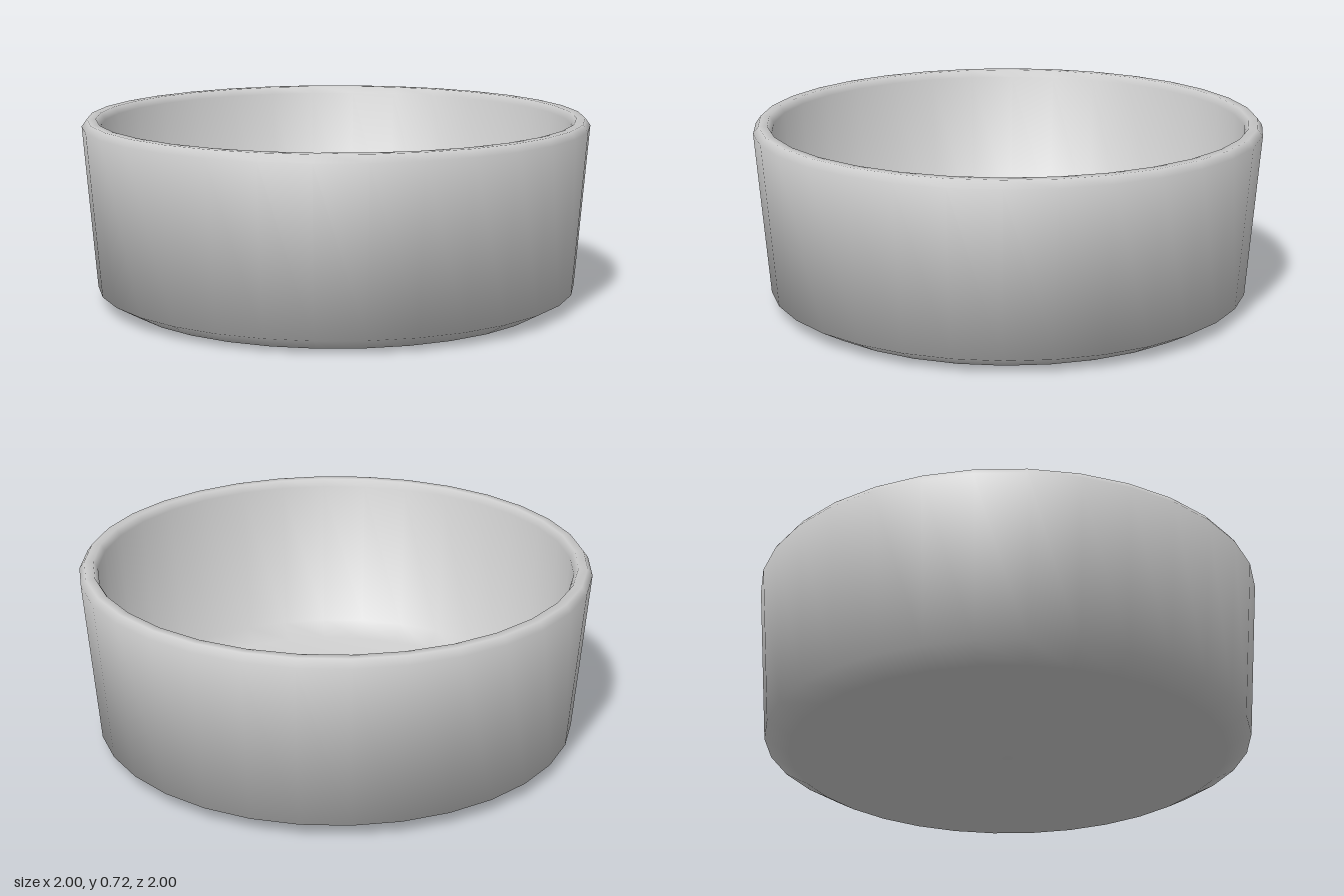
import * as THREE from 'three';

// Lathe whose normals bisect neighbouring profile segments evenly
function softLathe(profile, segments) {
  const geometry = new THREE.LatheGeometry(profile, segments);
  const last = profile.length - 1;
  const segmentNormal = (k) => {
    const d = profile[k + 1].clone().sub(profile[k]).normalize();
    return new THREE.Vector2(d.y, -d.x);
  };
  const normals = profile.map((_, j) =>
    segmentNormal(Math.max(j - 1, 0)).add(segmentNormal(Math.min(j, last - 1))).normalize());
  for (let i = 0; i <= segments; i++) {
    const a = (i / segments) * Math.PI * 2;
    normals.forEach((n, j) => geometry.attributes.normal.setXYZ(
      i * profile.length + j, n.x * Math.sin(a), n.y, n.x * Math.cos(a)));
  }
  return geometry;
}

export function createModel() {
  const model = new THREE.Group();
  model.name = 'bowl';

  // Cross-section: underside, outer wall, rounded rim, inner wall, floor
  const profile = [
    [0, 0], [0.855, 0], [0.95, 0.053],
    [1, 0.695], [0.98, 0.723], [0.945, 0.723], [0.928, 0.695],
    [0.89, 0.07], [0.81, 0.02], [0, 0.02],
  ].map(([r, y]) => new THREE.Vector2(r, y));

  const bowl = new THREE.Mesh(
    softLathe(profile, 32),
    new THREE.MeshStandardMaterial({ color: 0xcccccc })
  );
  bowl.name = 'bowlBody';
  model.add(bowl);
  return model;
}
